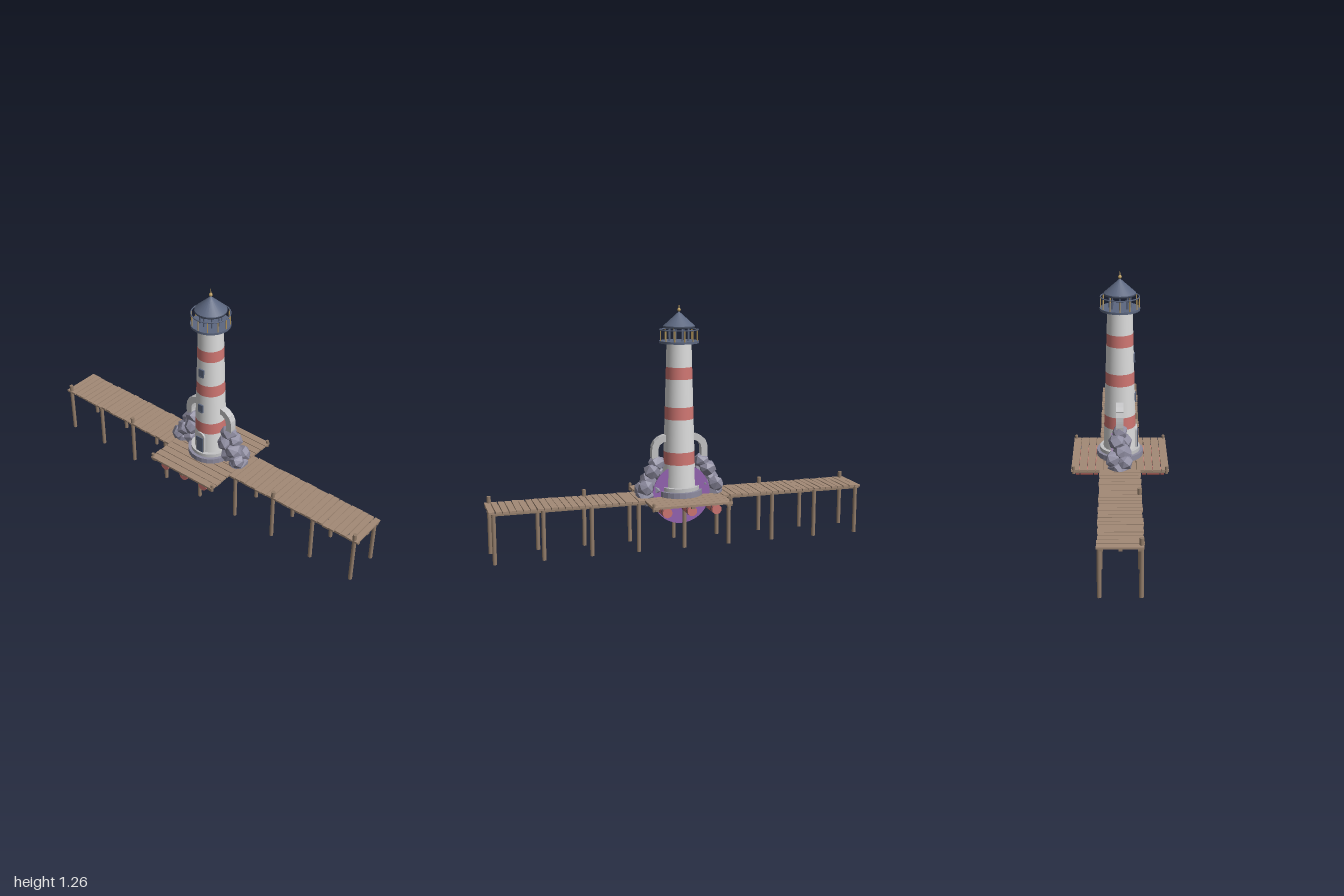
import * as THREE from 'three';
import { ConvexGeometry } from 'three/addons/geometries/ConvexGeometry.js';

const mat = (name, color, extra = {}) => {
  const m = new THREE.MeshStandardMaterial({ color, ...extra });
  m.name = name;
  return m;
};

export function createModel() {
  const root = new THREE.Group();
  root.name = 'lighthouse';
  const white = mat('white plaster', 0xdcdcdc);
  const red = mat('faded red', 0xcf7672);
  const slate = mat('slate blue', 0x5c6780);
  const rock = mat('rock grey', 0x8e8ca0, { flatShading: true });
  const stone = mat('pale stone', 0xc4c4c6);
  const wood = mat('plank wood', 0xa38a76);
  const post = mat('post wood', 0x937d6a);
  const purple = mat('purple', 0x9563b2);
  const brass = mat('brass', 0xbfa063);
  const iron = mat('dark iron', 0x4a4c58);

  let seed = 7;
  const rnd = () => (seed = (seed * 16807) % 2147483647) / 2147483647;

  const group = (name) => {
    const g = new THREE.Group();
    g.name = name;
    root.add(g);
    return g;
  };
  const add = (parent, name, geo, material, x = 0, y = 0, z = 0) => {
    const m = new THREE.Mesh(geo, material);
    m.name = name;
    m.position.set(x, y, z);
    parent.add(m);
    return m;
  };
  const box = (p, name, m, w, h, d, x, y, z) => add(p, name, new THREE.BoxGeometry(w, h, d), m, x, y, z);
  const rod = (p, name, m, r, y0, y1, x = 0, z = 0, sides = 8) =>
    add(p, name, new THREE.CylinderGeometry(r, r, y1 - y0, sides), m, x, (y0 + y1) / 2, z);

  // Tapered tower in alternating bands
  const tower = group('tower');
  const radiusAt = (y) => 0.086 - (0.022 * (y - 0.3)) / 0.76;
  const levels = [0.3, 0.43, 0.495, 0.664, 0.728, 0.87, 0.932, 1.06];
  for (let i = 0; i < levels.length - 1; i++) {
    const [a, b] = [levels[i], levels[i + 1]];
    add(tower, i % 2 ? 'redBand' : 'whiteBand',
      new THREE.CylinderGeometry(radiusAt(b), radiusAt(a), b - a, 32, 1, true), i % 2 ? red : white, 0, (a + b) / 2);
  }
  rod(tower, 'plinthLower', rock, 0.121, 0.262, 0.293, 0, 0, 24);
  rod(tower, 'plinthUpper', stone, 0.105, 0.293, 0.312, 0, 0, 24);

  // Arched door and windows on the front
  const archShape = (w, h) => {
    const s = new THREE.Shape();
    s.moveTo(-w, 0);
    s.lineTo(w, 0);
    s.lineTo(w, h - w);
    s.absarc(0, h - w, w, 0, Math.PI);
    s.lineTo(-w, 0);
    return s;
  };
  const slab = (w, h, depth) => new THREE.ExtrudeGeometry(archShape(w, h), { depth, bevelEnabled: false });
  add(tower, 'doorFrame', slab(0.028, 0.122, 0.02), stone, 0, 0.31, 0.07);
  box(tower, 'door', slate, 0.044, 0.092, 0.006, 0, 0.357, 0.091);
  for (const y of [0.585, 0.8]) {
    box(tower, 'window', slate, 0.03, 0.045, 0.012, 0, y, radiusAt(y));
    box(tower, 'windowSill', slate, 0.024, 0.006, 0.014, 0, y - 0.022, radiusAt(y));
  }

  // Gallery deck with railing
  const gallery = group('gallery');
  rod(gallery, 'galleryDeck', slate, 0.102, 1.052, 1.064, 0, 0, 24);
  for (let i = 0; i < 12; i++) {
    const a = (i * Math.PI) / 6;
    rod(gallery, 'baluster', brass, 0.0028, 1.06, 1.12, 0.097 * Math.cos(a), 0.097 * Math.sin(a), 6);
  }
  const rail = add(gallery, 'handrail', new THREE.TorusGeometry(0.098, 0.0035, 6, 32), slate, 0, 1.12, 0);
  rail.rotation.x = Math.PI / 2;

  // Open lantern room and conical roof
  const lantern = group('lantern');
  for (let i = 0; i < 8; i++) {
    const a = (i * Math.PI) / 4;
    rod(lantern, 'lanternPost', slate, 0.004, 1.06, 1.135, 0.053 * Math.cos(a), 0.053 * Math.sin(a));
  }
  const roof = [[0, 1.13], [0.081, 1.13], [0.081, 1.14]].map((p) => new THREE.Vector2(...p));
  add(lantern, 'roofRim', new THREE.LatheGeometry(roof, 24), slate);
  add(lantern, 'roofCone', new THREE.ConeGeometry(0.081, 0.073, 24), slate, 0, 1.1765, 0);
  add(lantern, 'finialBall', new THREE.SphereGeometry(0.0095, 12, 8), brass, 0, 1.22, 0);
  add(lantern, 'finialSpike', new THREE.ConeGeometry(0.004, 0.034, 8), brass, 0, 1.239, 0);

  // Curved stone buttresses, built from short overlapping blocks
  const buttresses = group('buttresses');
  const arc = new THREE.CatmullRomCurve3([
    [0.06, 0.567], [0.095, 0.56], [0.125, 0.535], [0.134, 0.49], [0.128, 0.43],
  ].map(([x, y]) => new THREE.Vector3(x, y, 0)));
  for (const s of [-1, 1]) {
    for (let i = 0; i < 8; i++) {
      const t = (i + 0.5) / 8;
      const p = arc.getPointAt(t);
      const d = arc.getTangentAt(t);
      const block = box(buttresses, 'buttressBlock', stone, 0.03, 0.034, 0.038, s * p.x, p.y, 0);
      block.rotation.z = Math.atan2(d.y, s * d.x);
    }
  }

  // Faceted boulders piled on both sides: x, y, z, then half sizes
  const rocks = group('rocks');
  const boulders = [
    [0.185, 0.265, -0.005, 0.052, 0.058, 0.056],
    [0.2, 0.3, 0.025, 0.04, 0.042, 0.042],
    [0.19, 0.315, -0.035, 0.042, 0.045, 0.042],
    [0.165, 0.345, 0.01, 0.048, 0.05, 0.05],
    [0.15, 0.395, -0.015, 0.045, 0.045, 0.045],
    [0.115, 0.38, 0.02, 0.04, 0.05, 0.04],
    [0.122, 0.435, 0.0, 0.046, 0.04, 0.042],
    [0.13, 0.305, 0.0, 0.045, 0.045, 0.055],
  ];
  for (const s of [-1, 1]) {
    for (const [x, y, z, rx, ry, rz] of boulders) {
      const turn = rnd() * 6;
      const pts = [];
      for (let i = 0; i < 16; i++) {
        const v = 1 - (2 * (i + 0.5)) / 16;
        const a = i * 2.4 + turn + rnd() * 0.5;
        const h = Math.sqrt(1 - v * v) * (0.92 + rnd() * 0.2);
        pts.push(new THREE.Vector3(rx * h * Math.cos(a), ry * v, rz * h * Math.sin(a)));
      }
      add(rocks, 'boulder', new ConvexGeometry(pts), rock, s * x, y, z);
    }
  }

  // Upright round panel behind the tower
  const panel = add(root, 'roundPanel', new THREE.CylinderGeometry(0.155, 0.155, 0.006, 40), purple, 0, 0.272, -0.041);
  panel.rotation.x = Math.PI / 2;

  // Square platform: planks along x on cross joists
  const platform = group('platform');
  for (let i = 0; i < 12; i++) {
    const z = -0.2292 + i * 0.04168;
    const plank = box(platform, 'platformPlank', wood, 0.42 - rnd() * 0.006, 0.011, 0.0385, 0, 0.259, z);
    plank.rotation.y = (rnd() - 0.5) * 0.008;
  }
  for (const x of [-0.19, 0, 0.19]) box(platform, 'platformJoist', post, 0.018, 0.012, 0.49, x, 0.248, 0);
  for (const x of [-0.203, 0.203]) {
    for (const z of [-0.237, 0.237]) rod(platform, 'cornerPost', post, 0.008, 0.242, 0.281, x, z);
  }

  // Walkways: planks across on long stringers
  const walkway = group('walkway');
  for (const s of [-1, 1]) {
    for (let i = 0; i < 23; i++) {
      const x = s * (0.227 + i * 0.0343);
      const plank = box(walkway, 'walkwayPlank', wood, 0.029 + rnd() * 0.003, 0.011, 0.204 + rnd() * 0.01,
        x, 0.259 + rnd() * 0.002, (rnd() - 0.5) * 0.004);
      if (i < 22) plank.rotation.y = (rnd() - 0.5) * 0.03;
    }
    for (const z of [-0.085, 0, 0.085]) box(walkway, 'stringer', post, 0.79, 0.011, 0.018, s * 0.6, 0.249, z);
  }

  // Piles; some rise above the deck on the front edge
  const piles = group('piles');
  for (let i = -4; i <= 4; i++) {
    for (const z of [-0.094, 0.094]) {
      const tall = z > 0 && i !== 0 && i % 2 === 0;
      rod(piles, 'pile', post, 0.0105, 0, tall ? 0.298 : 0.255, i * 0.2432, z, 10);
    }
  }

  // Floating barrels slung under the platform
  const barrels = group('barrels');
  for (const x of [-0.13, 0, 0.13]) {
    for (const s of [-1, 1]) {
      const barrel = rod(barrels, 'barrel', red, 0.025, 0, 0.115, x, s * 0.171, 16);
      barrel.position.y = 0.226;
      barrel.rotation.x = Math.PI / 2;
      for (const z of [0.137, 0.207]) {
        const hoop = rod(barrels, 'barrelHoop', iron, 0.0262, 0, 0.005, x, s * z, 16);
        hoop.position.y = 0.226;
        hoop.rotation.x = Math.PI / 2;
      }
    }
  }
  return root;
}
